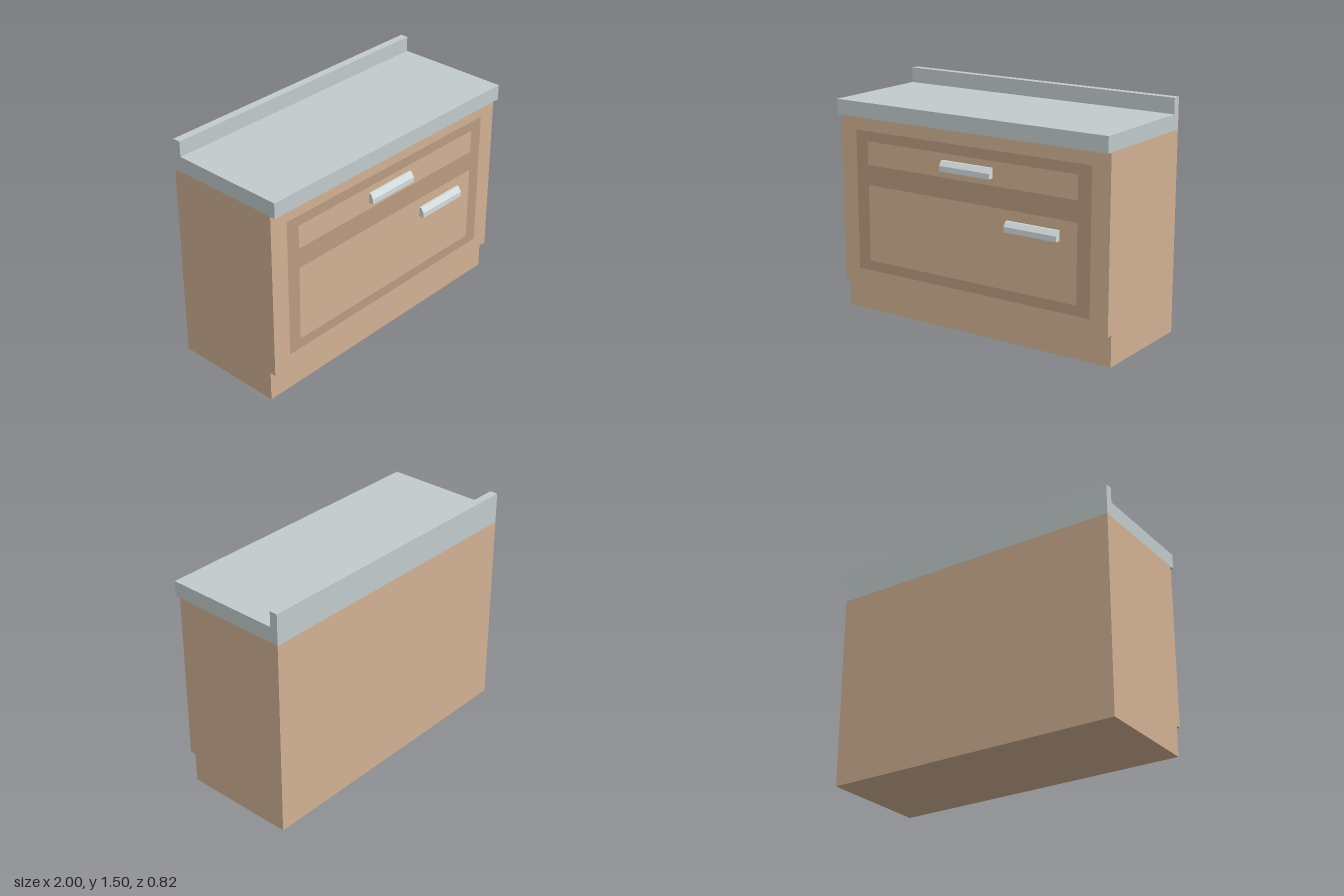
import * as THREE from 'three';

const mat = (color) => new THREE.MeshStandardMaterial({ color, flatShading: true });

// Extrude a side profile of [z, y] points across the width, centred on x
function sideExtrude(name, points, width, material) {
  const shape = new THREE.Shape(points.map(([z, y]) => new THREE.Vector2(z, y)));
  const geo = new THREE.ExtrudeGeometry(shape, { depth: width, bevelEnabled: false });
  geo.translate(0, 0, -width / 2).rotateY(-Math.PI / 2);
  const mesh = new THREE.Mesh(geo, material);
  mesh.name = name;
  return mesh;
}

const rect = (Type, x, y0, y1) => new Type([[-x, y0], [x, y0], [x, y1], [-x, y1]]
  .map(([a, b]) => new THREE.Vector2(a, b)));

export function createModel() {
  const group = new THREE.Group();
  group.name = 'kitchenCabinet';
  const wood = mat(0xd2b294), trim = mat(0xba9c82);
  const stone = mat(0xc3cbcc), metal = mat(0xd3dcdd);
  const back = -0.41, front = 0.375;

  // Cabinet body with recessed plinth
  group.add(sideExtrude('cabinetBody', [
    [back, 0], [0.335, 0], [0.335, 0.197], [front, 0.197], [front, 1.295], [back, 1.295],
  ], 2, wood));

  // Worktop with raised back edge
  group.add(sideExtrude('worktop', [
    [back, 1.295], [0.41, 1.295], [0.41, 1.395], [-0.357, 1.395], [-0.357, 1.495], [back, 1.495],
  ], 2, stone));

  // Flat darker trim around the drawer and the door panel
  const frame = rect(THREE.Shape, 0.875, 0.286, 1.205);
  frame.holes.push(rect(THREE.Path, 0.783, 0.352, 0.855), rect(THREE.Path, 0.783, 0.987, 1.14));
  const frontTrim = new THREE.Mesh(new THREE.ShapeGeometry(frame), trim);
  frontTrim.name = 'frontTrim';
  frontTrim.position.z = front + 0.001;
  group.add(frontTrim);

  // Handles with a sloping upper face
  for (const [name, x, y] of [['drawerHandle', -0.003, 1.032], ['doorHandle', 0.475, 0.724]]) {
    const handle = sideExtrude(name, [
      [0, 0], [0.035, 0], [0.035, 0.034], [0.015, 0.066], [0, 0.066],
    ], 0.372, metal);
    handle.position.set(x, y, front);
    group.add(handle);
  }
  return group;
}
